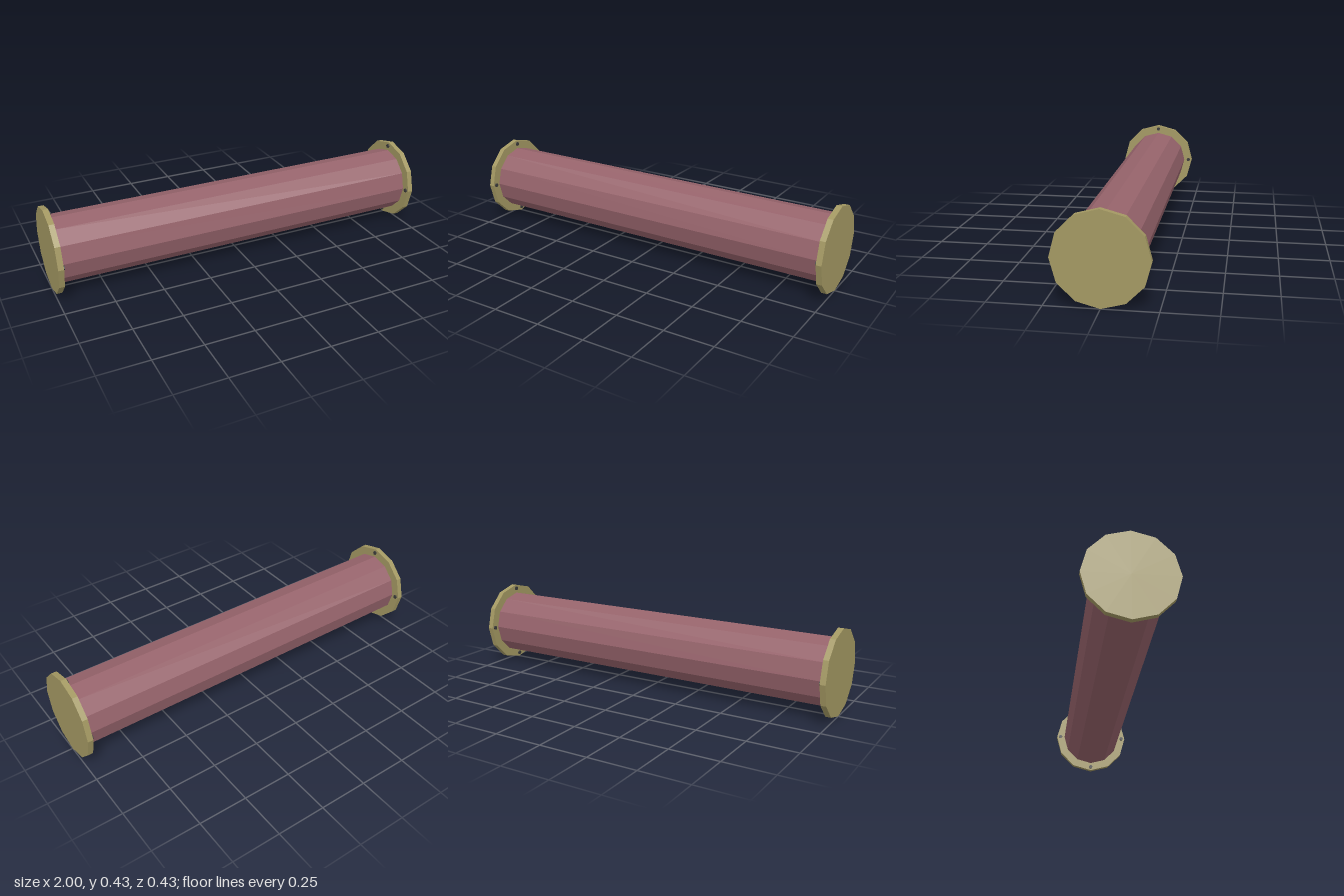
import * as THREE from 'three';

const R = 0.217;        // flange radius, also the height of the axis
const SIDES = 12;

function material(color) {
  return new THREE.MeshStandardMaterial({ color, flatShading: true });
}

// Cylinder lying along x
function rod(name, radius, length, sides, mat) {
  const geometry = new THREE.CylinderGeometry(radius, radius, length, sides);
  geometry.rotateZ(-Math.PI / 2);
  const mesh = new THREE.Mesh(geometry, mat);
  mesh.name = name;
  return mesh;
}

export function createModel() {
  const model = new THREE.Group();
  model.name = 'flangedPipe';
  const pipeMat = material(0x96636b);
  const flangeMat = material(0xa39862);
  const boltMat = material(0x3a3a3a);

  // Long straight pipe
  const pipe = rod('pipe', 0.17, 1.95, SIDES, pipeMat);
  pipe.position.y = R;
  model.add(pipe);

  // A flange with four bolts on its inner face at each end
  for (const side of [-1, 1]) {
    const end = new THREE.Group();
    end.name = side > 0 ? 'leftEnd' : 'rightEnd';
    end.position.y = R;

    const flange = rod('flange', R, 0.028, SIDES, flangeMat);
    flange.position.x = side * 0.986;
    end.add(flange);

    for (let i = 0; i < 4; i++) {
      const a = i * Math.PI / 2;
      const bolt = rod('bolt', 0.011, 0.02, 6, boltMat);
      bolt.position.set(side * 0.975, Math.cos(a) * 0.196, Math.sin(a) * 0.196);
      end.add(bolt);
    }
    model.add(end);
  }
  return model;
}
